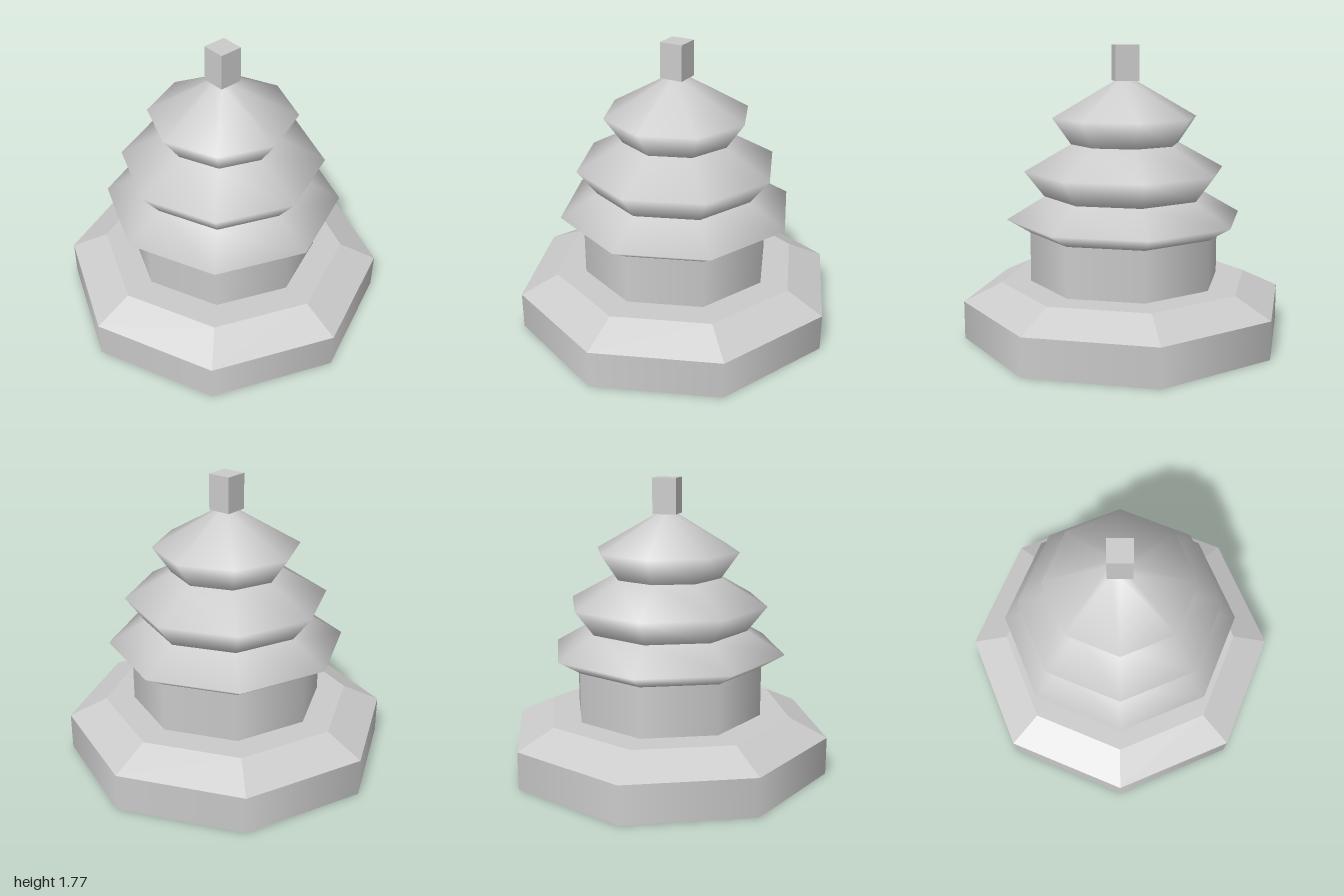
import * as THREE from 'three';

const SIDES = 8;

export function createModel() {
  const model = new THREE.Group();
  model.name = 'tieredPagoda';
  const smooth = new THREE.MeshStandardMaterial({ color: 0xcccccc });
  const faceted = new THREE.MeshStandardMaterial({ color: 0xcccccc, flatShading: true });

  const add = (name, geometry, material, y = 0) => {
    const mesh = new THREE.Mesh(geometry, material);
    mesh.name = name;
    mesh.position.y = y;
    model.add(mesh);
  };

  // Octagonal drum standing between two heights
  const drum = (name, rBottom, rTop, y0, y1, material) =>
    add(name, new THREE.CylinderGeometry(rTop, rBottom, y1 - y0, SIDES), material, (y0 + y1) / 2);

  // Plinth with a sloped, faceted upper edge, and the wall above it
  drum('plinth', 1, 1, 0, 0.23, smooth);
  drum('plinthSlope', 1, 0.77, 0.23, 0.34, faceted);
  drum('wall', 0.59, 0.59, 0.34, 0.645, smooth);

  // Stacked roofs, each flaring to an eave and drawing in again: [radius, height]
  const roofs = {
    lowerRoof: [[0.59, 0.645], [0.73, 0.73], [0.5, 0.865]],
    middleRoof: [[0.5, 0.865], [0.62, 1.02], [0.335, 1.18]],
    upperRoof: [[0.335, 1.18], [0.447, 1.34], [0.065, 1.56]],
  };
  for (const [name, profile] of Object.entries(roofs)) {
    const points = profile.map(([r, y]) => new THREE.Vector2(r, y));
    add(name, new THREE.LatheGeometry(points, SIDES), smooth);
  }

  // Square finial
  add('finial', new THREE.BoxGeometry(0.145, 0.215, 0.145), smooth, 1.6675);

  return model;
}
